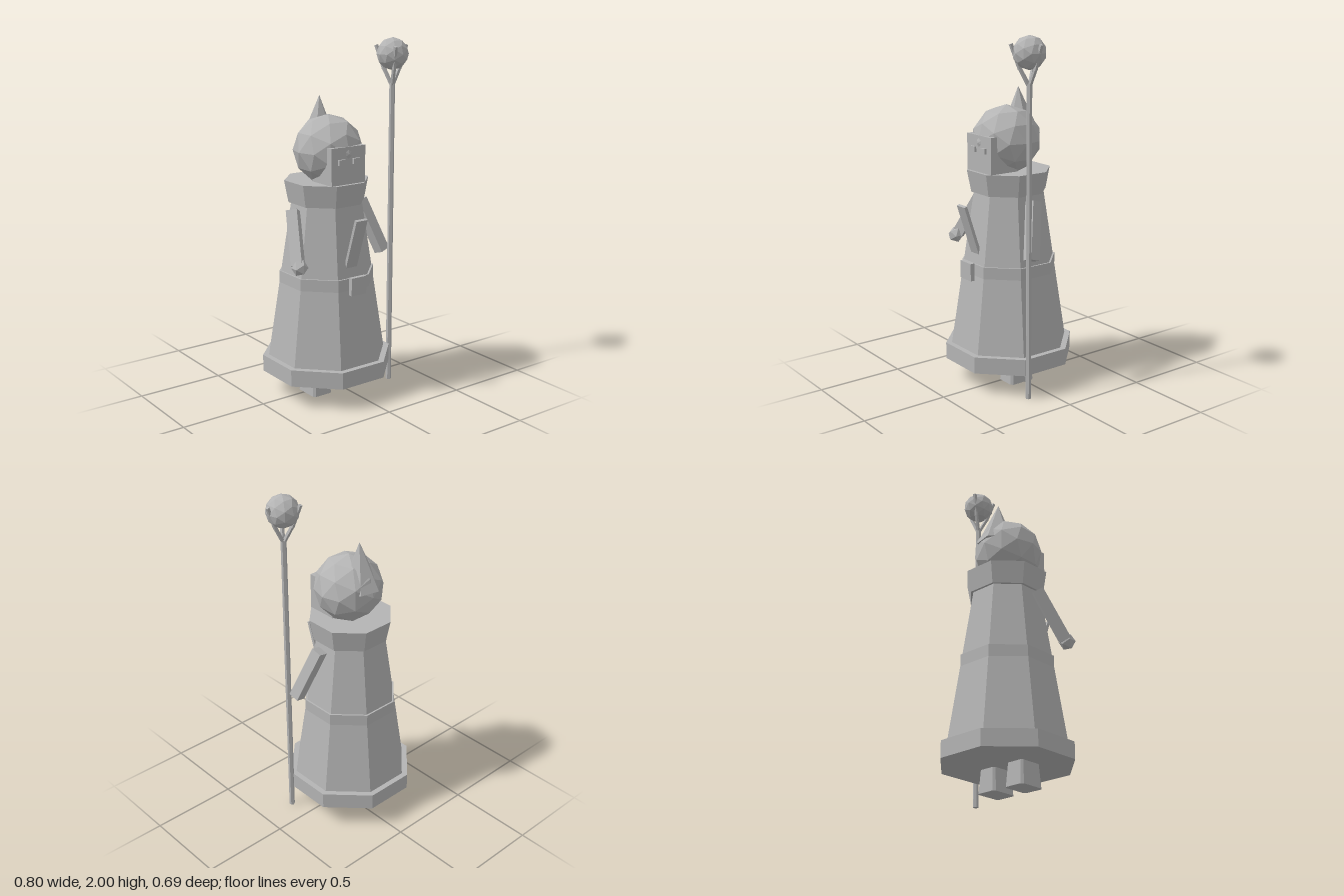
import * as THREE from 'three';

export function createModel() {
  const group = new THREE.Group();
  const grey = new THREE.MeshStandardMaterial({ color: 0xb4b4b4, flatShading: true });
  grey.name = 'plain grey';
  const CX = -0.06; // centre line of the figure

  const add = (name, geometry, x = 0, y = 0, z = 0) => {
    const mesh = new THREE.Mesh(geometry, grey);
    mesh.name = name;
    mesh.position.set(x, y, z);
    group.add(mesh);
    return mesh;
  };
  const box = (name, w, h, d, x, y, z) => add(name, new THREE.BoxGeometry(w, h, d), x, y, z);

  // Eight-sided ring with a flat front; a0 and a1 are bottom and top half-widths
  const octagon = (name, a0, a1, y0, y1) => {
    const k = 1 / Math.cos(Math.PI / 8);
    add(name, new THREE.CylinderGeometry(a1 * k, a0 * k, y1 - y0, 8, 1, false, Math.PI / 8), CX, (y0 + y1) / 2, 0);
  };

  // Square bar running between two points
  const bar = (name, from, to, w, d = w) => {
    const a = new THREE.Vector3(...from), b = new THREE.Vector3(...to);
    const dir = b.clone().sub(a);
    const mesh = box(name, w, dir.length(), d, 0, 0, 0);
    mesh.position.copy(a).add(b).multiplyScalar(0.5);
    mesh.quaternion.setFromUnitVectors(new THREE.Vector3(0, 1, 0), dir.normalize());
    return mesh;
  };

  // Robe with hem, belt and flared collar
  octagon('robe', 0.317, 0.185, 0.2, 1.12);
  octagon('hem', 0.345, 0.345, 0.13, 0.225);
  octagon('belt', 0.252, 0.252, 0.65, 0.72);
  octagon('collar', 0.2, 0.222, 1.11, 1.235);
  box('buckle', 0.1, 0.1, 0.025, CX, 0.685, 0.288);
  box('beard', 0.075, 0.31, 0.018, CX - 0.002, 0.912, 0.27).rotation.x = 0.32;

  // Feet: blocks with cut corners and a bevelled top
  const footShape = (w, d, c) => new THREE.Shape([
    [-w, -d + c], [-w + c, -d], [w - c, -d], [w, -d + c],
    [w, d - c], [w - c, d], [-w + c, d], [-w, d - c],
  ].map(p => new THREE.Vector2(...p)));
  for (const x of [-0.158, 0.038]) {
    const geometry = new THREE.ExtrudeGeometry(footShape(0.063, 0.08, 0.013), { depth: 0.13, bevelEnabled: false });
    geometry.rotateX(-Math.PI / 2);
    const p = geometry.attributes.position;
    for (let i = 0; i < p.count; i++) {
      if (p.getY(i) > 0.1) p.setXYZ(i, p.getX(i) * 0.85, 0.135, p.getZ(i) * 0.88);
    }
    geometry.computeVertexNormals();
    add('foot', geometry, x, 0, 0.02);
  }

  // Hooded head with face block and eyes
  add('hood', new THREE.IcosahedronGeometry(0.195, 1), CX, 1.4, 0.015);
  box('face', 0.225, 0.205, 0.18, CX, 1.337, 0.113);
  for (const side of [-1, 1]) box('eye', 0.045, 0.03, 0.02, CX + side * 0.048, 1.36, 0.206);

  // Pointed peak leaning on the back of the hood
  const peak = new THREE.ConeGeometry(0.112, 0.265, 6, 1, false, THREE.MathUtils.degToRad(17));
  add('hoodPeak', peak, CX, 1.558, -0.073).rotation.x = 0.05;

  // Arms and free hand
  bar('leftArm', [0.17, 1.082, 0.002], [0.268, 0.785, 0.09], 0.063);
  bar('rightArm', [-0.29, 1.082, 0.005], [-0.358, 0.81, 0.15], 0.063);
  add('rightHand', new THREE.IcosahedronGeometry(0.047, 0), -0.357, 0.808, 0.165);

  // Staff with an orb held by three bent prongs
  const SX = 0.295, SZ = 0.13;
  add('staff', new THREE.CylinderGeometry(0.016, 0.016, 1.75, 6), SX, 0.875, SZ);
  add('orb', new THREE.IcosahedronGeometry(0.09, 1), SX, 1.91, SZ);
  for (let i = 0; i < 3; i++) {
    const t = i * Math.PI * 2 / 3;
    const at = (r, y) => [SX + Math.cos(t) * r, y, SZ + Math.sin(t) * r];
    bar('prongBase', at(0.004, 1.74), at(0.05, 1.83), 0.016);
    bar('prongTip', at(0.05, 1.825), at(0.097, 1.955), 0.016);
  }

  return group;
}
